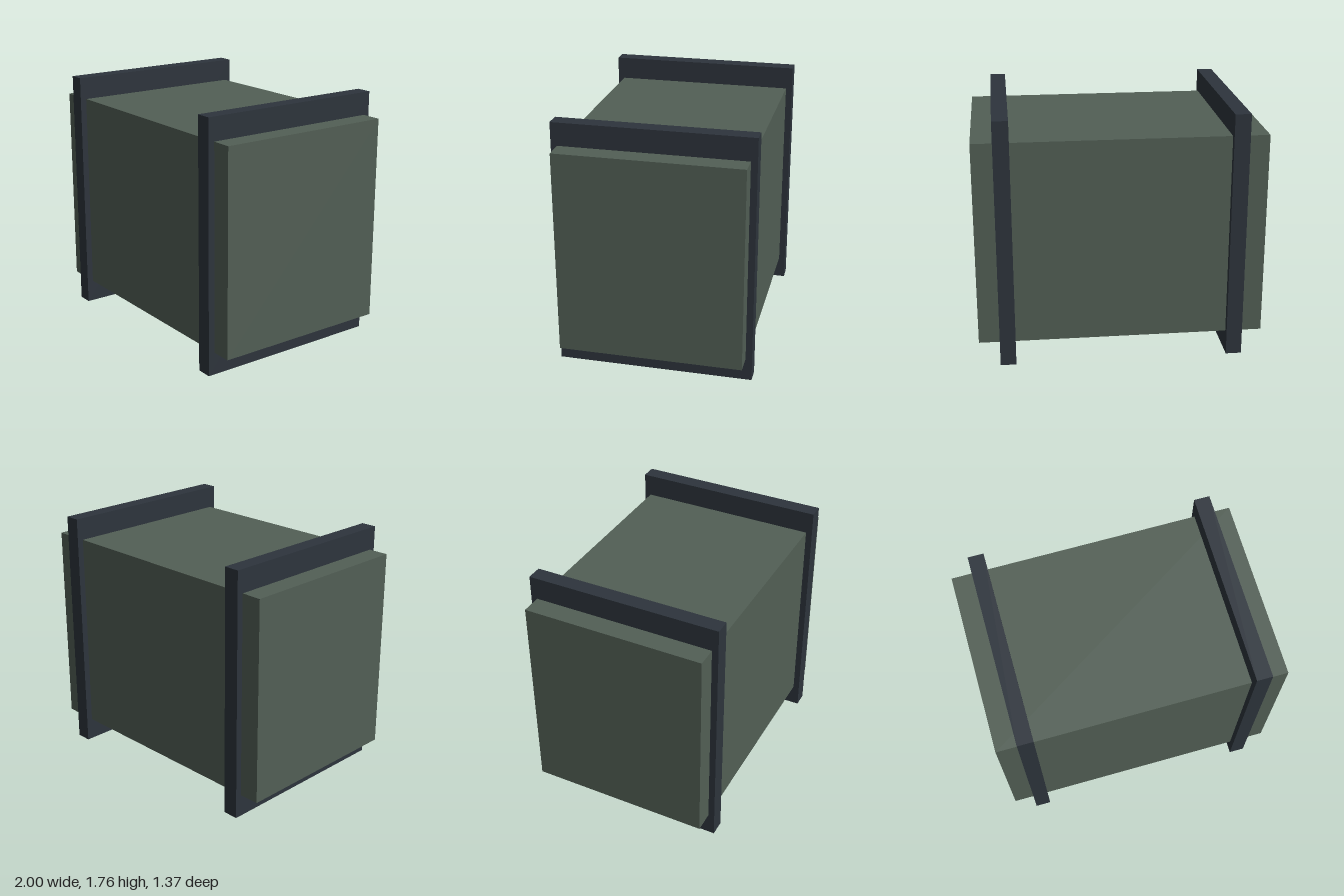
import * as THREE from 'three';

const green = new THREE.MeshStandardMaterial({ color: 0x525f55 });
green.name = 'mutedGreen';
const slate = new THREE.MeshStandardMaterial({ color: 0x2d343c });
slate.name = 'darkSlate';

function box(name, material, size, position) {
  const mesh = new THREE.Mesh(new THREE.BoxGeometry(...size), material);
  mesh.name = name;
  mesh.position.set(...position);
  return mesh;
}

export function createModel() {
  const model = new THREE.Group();
  model.name = 'crate';

  // Main container, raised off the ground by the frames
  model.add(box('body', green, [2, 1.44, 1.28], [0, 0.88, 0]));

  // Support frames wrapping the body near each end
  for (const [name, side] of [['leftFrame', 1], ['rightFrame', -1]]) {
    model.add(box(name, slate, [0.11, 1.76, 1.37], [side * 0.8, 0.88, 0]));
  }
  return model;
}
